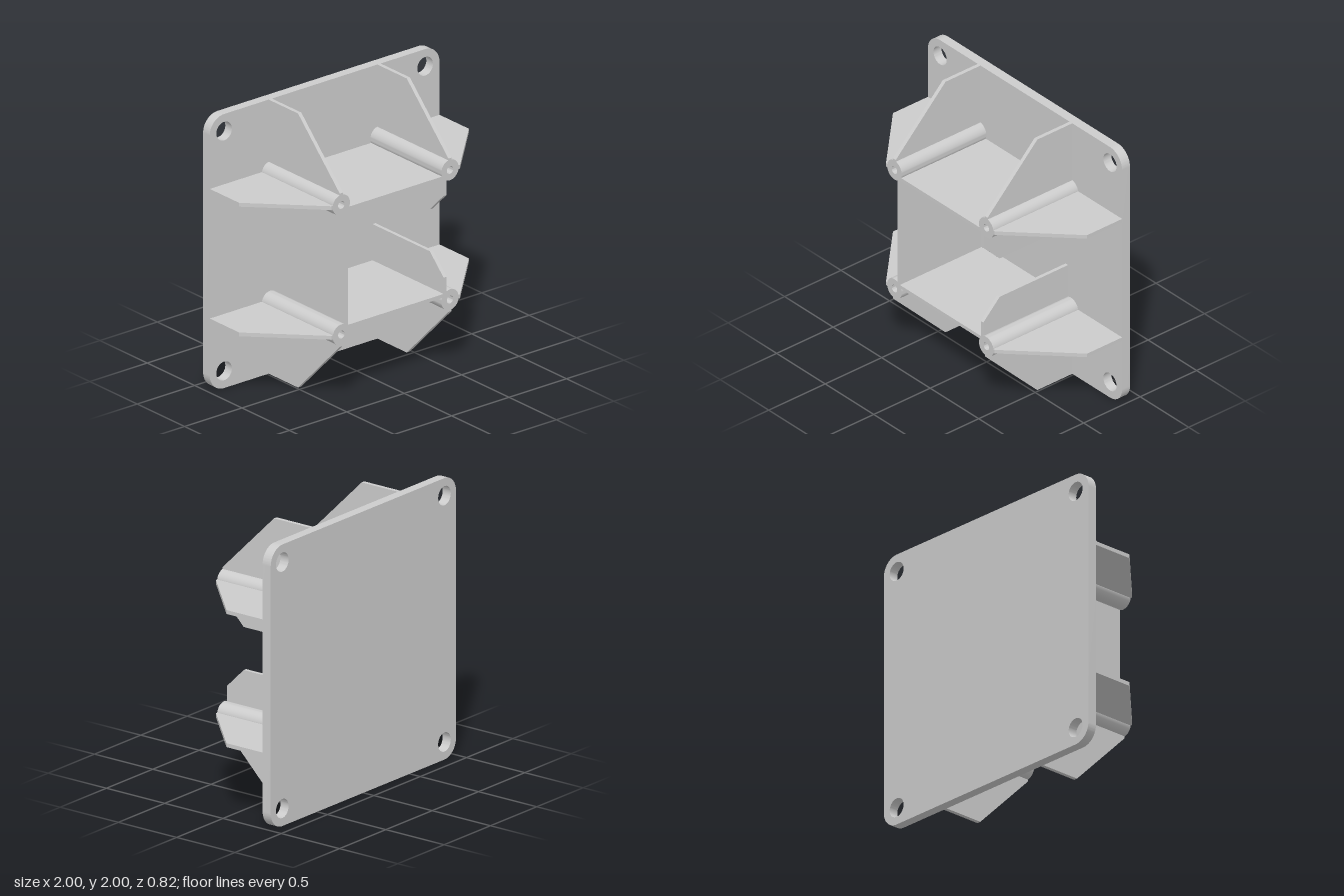
import * as THREE from 'three';
import { toCreasedNormals } from 'three/addons/utils/BufferGeometryUtils.js';

const BACK = -0.41, FACE = -0.34, FRONT = 0.41; // depth levels
const POST = 0.473, WALL = 0.43;                // offsets from the centre
const RIB_T = 0.028, WALL_T = 0.026;            // thicknesses

const material = new THREE.MeshStandardMaterial({ color: 0xcccccc });

function extrude(shape, depth, curveSegments = 24) {
  const g = new THREE.ExtrudeGeometry(shape, { depth, curveSegments, bevelEnabled: false });
  return toCreasedNormals(g, 0.6);
}

function circle(x, y, r, Type = THREE.Path) {
  return new Type().absarc(x, y, r, 0, Math.PI * 2, false);
}

export function createModel() {
  const model = new THREE.Group();
  const body = new THREE.Group();
  body.name = 'enclosure';
  body.position.y = 1;
  model.add(body);

  const add = (name, geometry, x = 0, y = 0, z = 0) => {
    const mesh = new THREE.Mesh(geometry, material);
    mesh.name = name;
    mesh.position.set(x, y, z);
    body.add(mesh);
    return mesh;
  };

  // Upright panel: profile of [distance from centre, z], pointing along +x,
  // shifted sideways and turned about z by quarter turns
  const panel = (name, profile, thickness, side, turns) => {
    const shape = new THREE.Shape(profile.map(([u, z]) => new THREE.Vector2(u, z)));
    const g = extrude(shape, thickness);
    g.translate(0, 0, -thickness / 2).rotateX(Math.PI / 2).translate(0, side, 0);
    add(name, g).rotation.z = turns * Math.PI / 2;
  };

  // Base plate with rounded corners and four mounting holes
  const plate = new THREE.Shape();
  const c = 0.875, r = 0.125;
  plate.absarc(c, c, r, 0, Math.PI / 2, false);
  plate.absarc(-c, c, r, Math.PI / 2, Math.PI, false);
  plate.absarc(-c, -c, r, Math.PI, Math.PI * 1.5, false);
  plate.absarc(c, -c, r, Math.PI * 1.5, Math.PI * 2, false);
  for (const sx of [-1, 1]) for (const sy of [-1, 1]) plate.holes.push(circle(sx * c, sy * c, 0.068));
  add('basePlate', extrude(plate, FACE - BACK), 0, 0, BACK);

  // Hollow screw posts
  const ring = circle(0, 0, 0.075, THREE.Shape);
  ring.holes.push(circle(0, 0, 0.028));
  const post = extrude(ring, FRONT - FACE);
  for (const sx of [-1, 1]) for (const sy of [-1, 1]) add('screwPost', post, sx * POST, sy * POST, FACE);

  // Sloped ribs from each post to the plate edges
  const rib = [[POST + 0.06, FACE], [1, FACE], [1, -0.03], [0.56, FRONT], [POST + 0.06, FRONT]];
  for (let turns = 0; turns < 4; turns++) {
    for (const s of [-1, 1]) panel('outerRib', rib, RIB_T, s * POST, turns);
  }

  // Three full walls between the posts
  const depth = FRONT - FACE, mid = (FRONT + FACE) / 2;
  const long = new THREE.BoxGeometry(WALL * 2, WALL_T, depth);
  add('topWall', long, 0, WALL, mid);
  add('bottomWall', long, 0, -WALL, mid);
  add('rightWall', new THREE.BoxGeometry(WALL_T, WALL * 2, depth), -WALL, 0, mid);

  // Open side: two short chamfered wall stubs
  const stub = [[0.153, FACE], [WALL, FACE], [WALL, FRONT], [0.298, FRONT], [0.153, 0.265]];
  panel('upperWallStub', stub, WALL_T, -WALL, 1);
  panel('lowerWallStub', stub, WALL_T, WALL, -1);

  return model;
}
